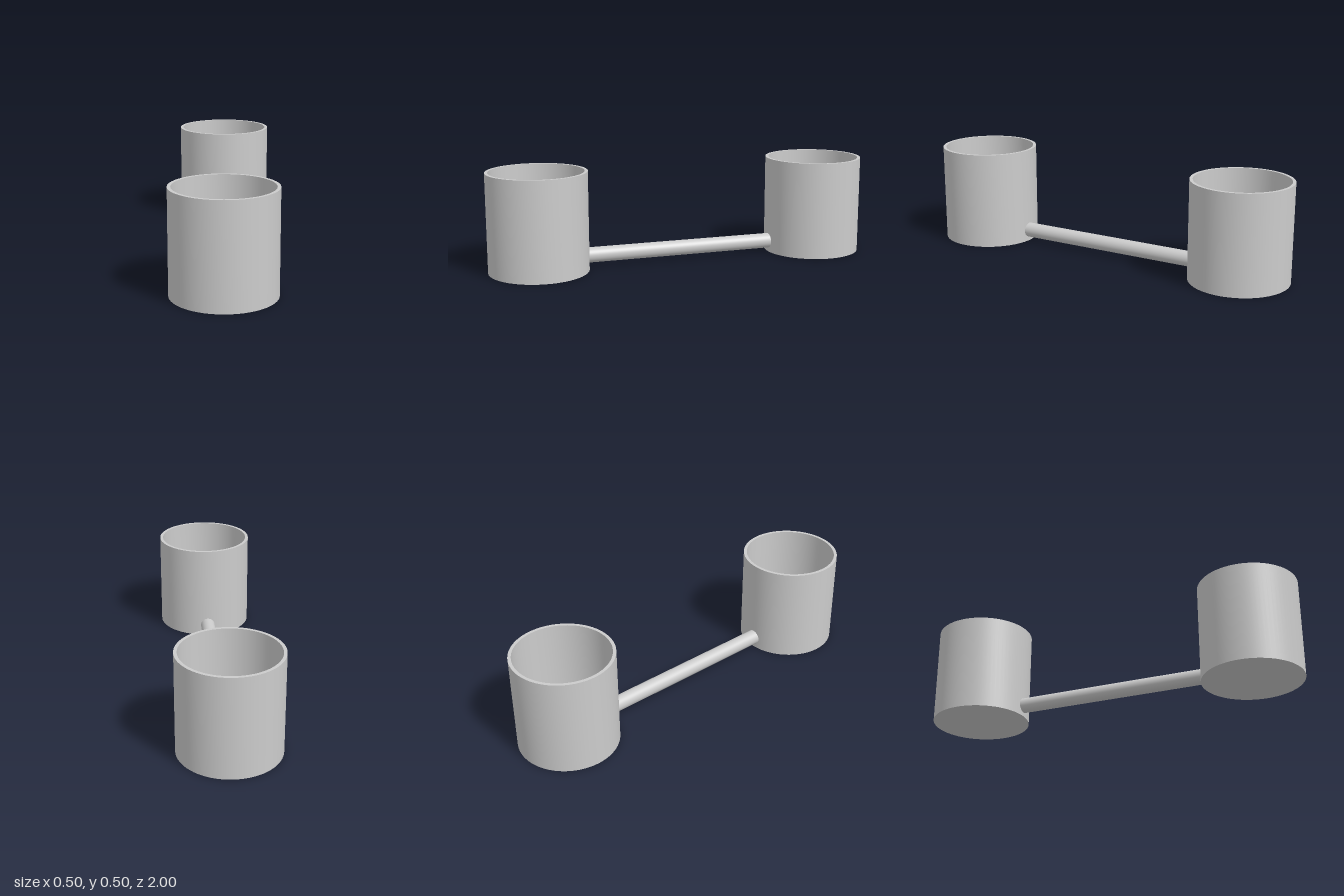
import * as THREE from 'three';
import { toCreasedNormals } from 'three/addons/utils/BufferGeometryUtils.js';

const RADIUS = 0.2525, HEIGHT = 0.505, WALL = 0.016, CUP_Z = 0.7475;
const ROD_RADIUS = 0.039, ROD_Y = 0.06, ROD_LENGTH = 1.042;

export function createModel() {
  const model = new THREE.Group();
  const material = new THREE.MeshStandardMaterial({ color: 0xcccccc });

  // Open cup: underside, outer wall, rim, inner wall, floor
  const profile = [
    [0, 0], [RADIUS, 0], [RADIUS, HEIGHT],
    [RADIUS - WALL, HEIGHT], [RADIUS - WALL, WALL], [0, WALL],
  ].map(([r, y]) => new THREE.Vector2(r, y));
  const cupGeometry = toCreasedNormals(new THREE.LatheGeometry(profile, 72), Math.PI / 6);

  for (const [name, side] of [['frontCup', 1], ['backCup', -1]]) {
    const cup = new THREE.Mesh(cupGeometry, material);
    cup.name = name;
    cup.position.z = side * CUP_Z;
    model.add(cup);
  }

  // Connecting rod, its ends just piercing the inner walls
  const rod = new THREE.Mesh(
    new THREE.CylinderGeometry(ROD_RADIUS, ROD_RADIUS, ROD_LENGTH, 48), material);
  rod.name = 'connectingRod';
  rod.rotation.x = Math.PI / 2;
  rod.position.y = ROD_Y;
  model.add(rod);

  return model;
}
